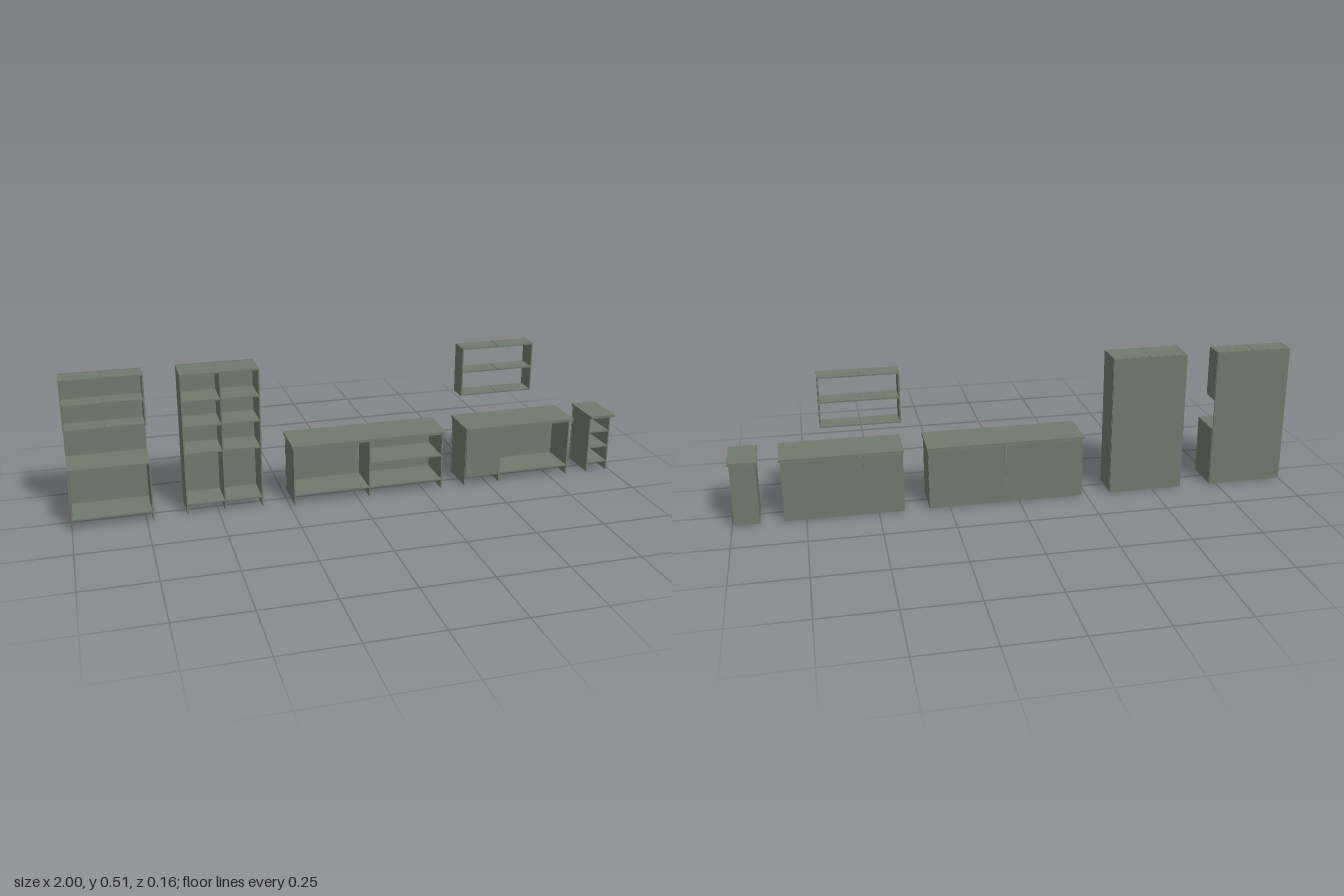
import * as THREE from 'three';

export function createModel() {
  const model = new THREE.Group();
  model.name = 'kitchenCabinetRow';
  const paint = new THREE.MeshStandardMaterial({ color: 0x727a6d });
  paint.name = 'grey green';

  const T = 0.005;                       // board thickness
  const BACK = -0.072;                   // rear edge of the carcasses
  const BASE = 0.063, TALL = 0.04, WALL = 0; // front edges

  // Box given by its limits on each axis
  function board(group, name, x0, x1, y0, y1, z0, z1) {
    const mesh = new THREE.Mesh(new THREE.BoxGeometry(x1 - x0, y1 - y0, z1 - z0), paint);
    mesh.position.set((x0 + x1) / 2, (y0 + y1) / 2, (z0 + z1) / 2);
    mesh.name = name;
    group.add(mesh);
  }
  function unit(name) {
    const g = new THREE.Group();
    g.name = name;
    model.add(g);
    return g;
  }
  // Upright boards, each placed with its left edge at x
  function uprights(g, xs, y0, y1, front) {
    xs.forEach((x) => board(g, 'upright', x, x + T, y0, y1, BACK, front));
  }
  // Shelves between two uprights, centred on the given heights
  function shelves(g, x0, x1, ys, front) {
    ys.forEach((y) => board(g, 'shelf', x0, x1, y - T / 2, y + T / 2, BACK, front));
  }
  function backPanel(g, x0, x1, top) {
    board(g, 'backPanel', x0, x1, 0, top, -0.08, -0.076);
  }
  function countertop(g, x0, x1) {
    board(g, 'countertop', x0, x1, 0.218, 0.227, -0.08, 0.083);
  }
  // Hanging shelf unit, each shelf made of two halves
  function wallShelf(g, x0, x1) {
    const mid = (x0 + x1) / 2;
    uprights(g, [x0, x1 - T], 0.327, 0.508, WALL);
    const ys = [0.331, 0.418, 0.505];
    shelves(g, x0 + T, mid - 0.001, ys, WALL);
    shelves(g, mid + 0.001, x1 - T, ys, WALL);
  }

  // Dresser: base cupboard, hanging shelves and a full-height back
  const dresser = unit('dresser');
  uprights(dresser, [-1, -0.73], 0, 0.215, BASE);
  shelves(dresser, -0.995, -0.73, [0.034, 0.2125], BASE);
  wallShelf(dresser, -1, -0.725);
  backPanel(dresser, -1, -0.725, 0.508);

  // Tall bookcase with two bays
  const tall = unit('tallShelves');
  uprights(tall, [-0.61, -0.4775, -0.345], 0, 0.508, TALL);
  const tallYs = [0.034, 0.222, 0.32, 0.41, 0.505];
  shelves(tall, -0.605, -0.4775, tallYs, TALL);
  shelves(tall, -0.4725, -0.345, tallYs, TALL);
  backPanel(tall, -0.61, -0.34, 0.508);

  // Wide base with an extra shelf on one side
  const wide = unit('wideBase');
  uprights(wide, [-0.233, 0.043, 0.317], 0, 0.217, BASE);
  shelves(wide, -0.228, 0.043, [0.034], BASE);
  shelves(wide, 0.048, 0.317, [0.034, 0.127], BASE);
  backPanel(wide, -0.233, 0.043, 0.217);
  backPanel(wide, 0.047, 0.322, 0.217);
  countertop(wide, -0.24, 0.325);

  // Base with one closed door
  const doorBase = unit('doorBase');
  uprights(doorBase, [0.41, 0.545, 0.82], 0, 0.217, BASE);
  shelves(doorBase, 0.415, 0.545, [0.034], BASE);
  shelves(doorBase, 0.55, 0.82, [0.034], BASE);
  board(doorBase, 'door', 0.411, 0.545, 0.034, 0.215, 0.067, 0.072);
  backPanel(doorBase, 0.41, 0.545, 0.217);
  backPanel(doorBase, 0.549, 0.825, 0.217);
  countertop(doorBase, 0.405, 0.83);

  // Open hanging shelves
  wallShelf(unit('wallShelves'), 0.41, 0.684);

  // Narrow end base
  const end = unit('narrowBase');
  uprights(end, [0.907, 0.988], 0, 0.217, BASE);
  shelves(end, 0.912, 0.988, [0.034, 0.095, 0.157], BASE);
  backPanel(end, 0.907, 0.993, 0.217);
  countertop(end, 0.902, 1);

  return model;
}
